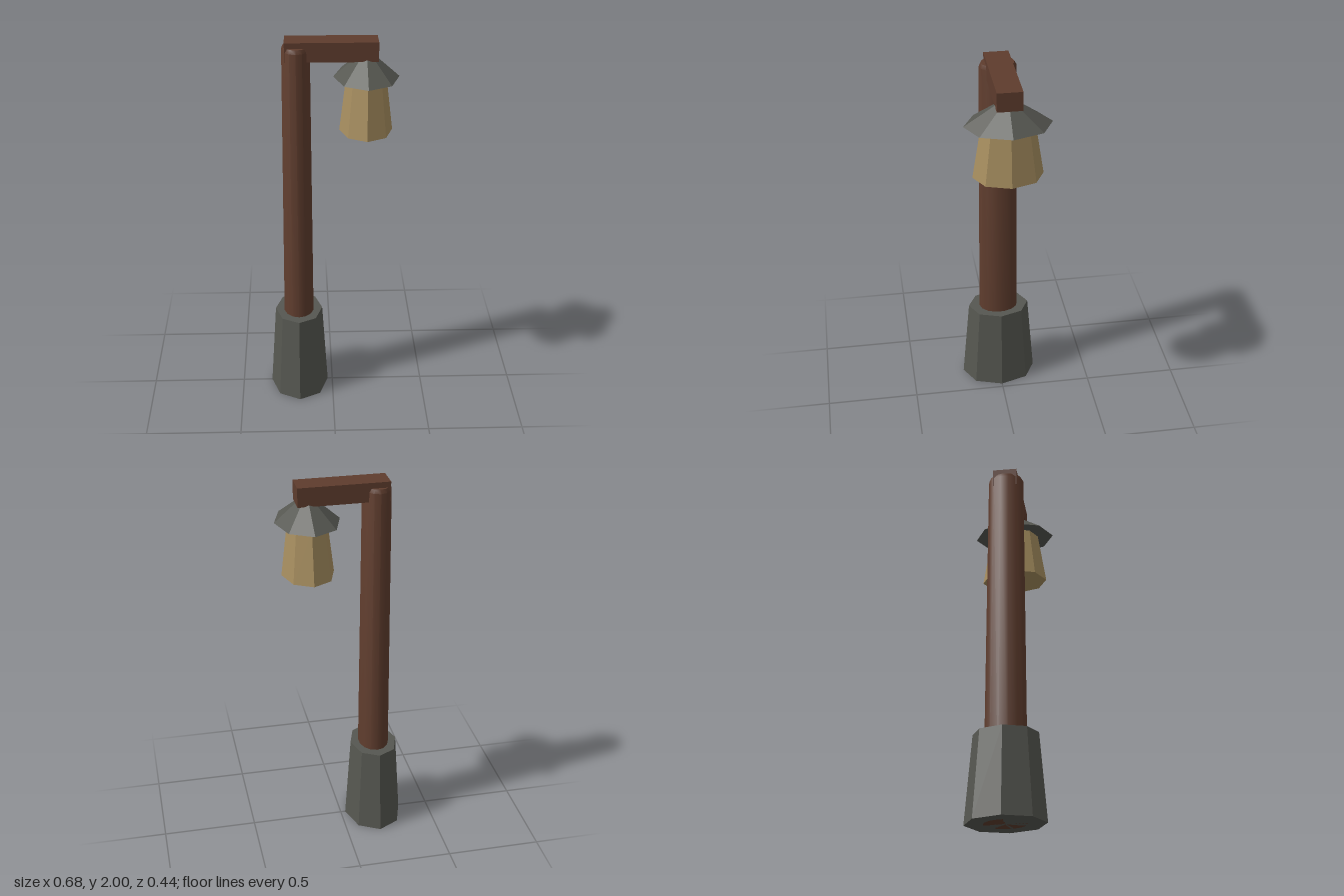
import * as THREE from 'three';
import { toCreasedNormals } from 'three/addons/utils/BufferGeometryUtils.js';

const SQUASH = 0.76; // every round part is narrower in x than in z
const POST_X = -0.183;
const LAMP_X = 0.172;

function material(name, color, flatShading = true) {
  const m = new THREE.MeshStandardMaterial({ color, flatShading });
  m.name = name;
  return m;
}

export function createModel() {
  const group = new THREE.Group();
  group.name = 'lampPost';
  const wood = material('brownWood', 0x5e3c2d, false);
  const stone = material('darkGrey', 0x565751);
  const glow = material('warmGlass', 0xa88f60);

  const add = (name, geometry, mat, x, y) => {
    const mesh = new THREE.Mesh(geometry, mat);
    mesh.name = name;
    mesh.position.set(x, y, 0);
    group.add(mesh);
  };

  // Eight-sided tapered part standing between two heights
  const octagon = (name, mat, x, rTop, rBottom, y0, y1) => {
    const geo = new THREE.CylinderGeometry(rTop, rBottom, y1 - y0, 8);
    geo.scale(SQUASH, 1, 1);
    add(name, geo, mat, x, (y0 + y1) / 2);
  };

  octagon('base', stone, POST_X, 0.168, 0.207, 0, 0.467);

  // Smooth tapered post with a bevelled top
  const profile = [[0, 0], [0.111, 0], [0.096, 1.95], [0.086, 1.97], [0, 1.97]]
    .map(([r, y]) => new THREE.Vector2(r, y));
  const post = new THREE.LatheGeometry(profile, 14);
  post.scale(SQUASH, 1, 1);
  add('post', toCreasedNormals(post, 0.6), wood, POST_X, 0);

  // Crossbeam carrying the lamp
  add('crossbeam', new THREE.BoxGeometry(0.47, 0.1, 0.128), wood, -0.005, 1.95);

  // Lamp: glass body under a conical cap
  octagon('lampGlass', glow, LAMP_X, 0.133, 0.179, 1.52, 1.81);
  octagon('lampCap', stone, LAMP_X, 0, 0.22, 1.805, 1.952);

  return group;
}
